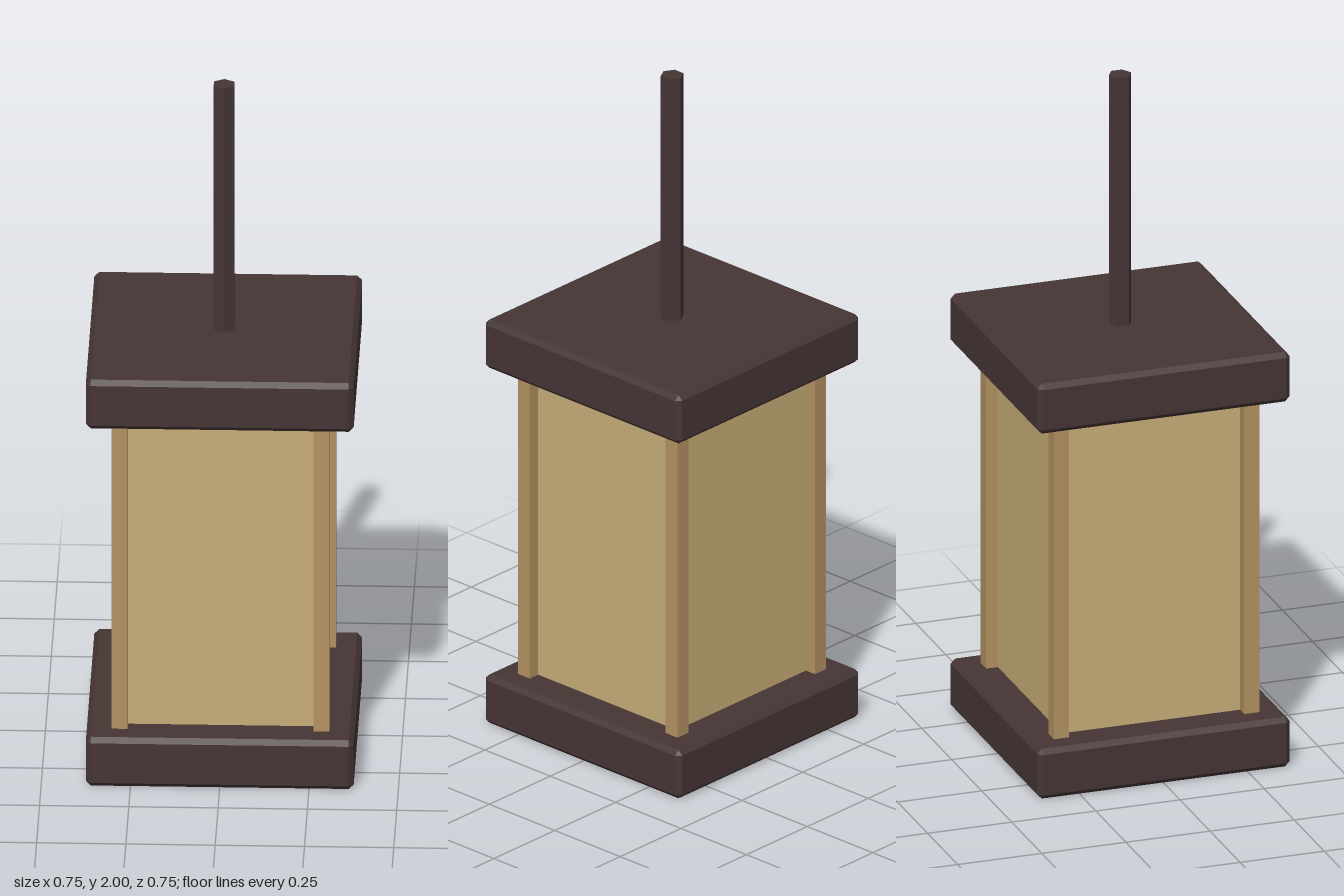
import * as THREE from 'three';
import { ConvexGeometry } from 'three/addons/geometries/ConvexGeometry.js';

const darkWood = new THREE.MeshStandardMaterial({ color: 0x463535 });
darkWood.name = 'dark wood';
const paper = new THREE.MeshStandardMaterial({ color: 0xc8ad78 });
paper.name = 'paper';
const lightWood = new THREE.MeshStandardMaterial({ color: 0xb39262 });
lightWood.name = 'light wood';

// Box with every edge and corner chamfered by c
function chamferedBox(w, h, d, c) {
  const points = [];
  for (const sx of [-1, 1]) for (const sy of [-1, 1]) for (const sz of [-1, 1]) {
    for (let face = 0; face < 3; face++) {
      const p = [w, h, d].map((size, i) => size / 2 - (i === face ? 0 : c));
      points.push(new THREE.Vector3(sx * p[0], sy * p[1], sz * p[2]));
    }
  }
  return new ConvexGeometry(points);
}

export function createModel() {
  const lantern = new THREE.Group();
  lantern.name = 'hangingLantern';

  function add(name, geometry, material, x, y, z) {
    const mesh = new THREE.Mesh(geometry, material);
    mesh.name = name;
    mesh.position.set(x, y, z);
    lantern.add(mesh);
  }

  // Base and cap plates
  const plate = chamferedBox(0.75, 0.15, 0.75, 0.014);
  add('basePlate', plate, darkWood, 0, 0.075, 0);
  add('capPlate', plate, darkWood, 0, 1.175, 0);

  // Paper shade, slightly recessed between the posts
  add('paperShade', new THREE.BoxGeometry(0.54, 0.96, 0.54), paper, 0, 0.625, 0);

  // Corner posts
  const post = new THREE.BoxGeometry(0.045, 0.96, 0.045);
  for (const [sx, side] of [[1, 'Left'], [-1, 'Right']]) {
    for (const [sz, end] of [[1, 'front'], [-1, 'back']]) {
      add(end + side + 'Post', post, lightWood, sx * 0.2825, 0.625, sz * 0.2825);
    }
  }

  // Hexagonal hanging rod
  const rod = new THREE.CylinderGeometry(0.033, 0.033, 0.76, 6).toNonIndexed();
  rod.computeVertexNormals();
  add('hangingRod', rod, darkWood, 0, 1.62, 0);

  return lantern;
}
